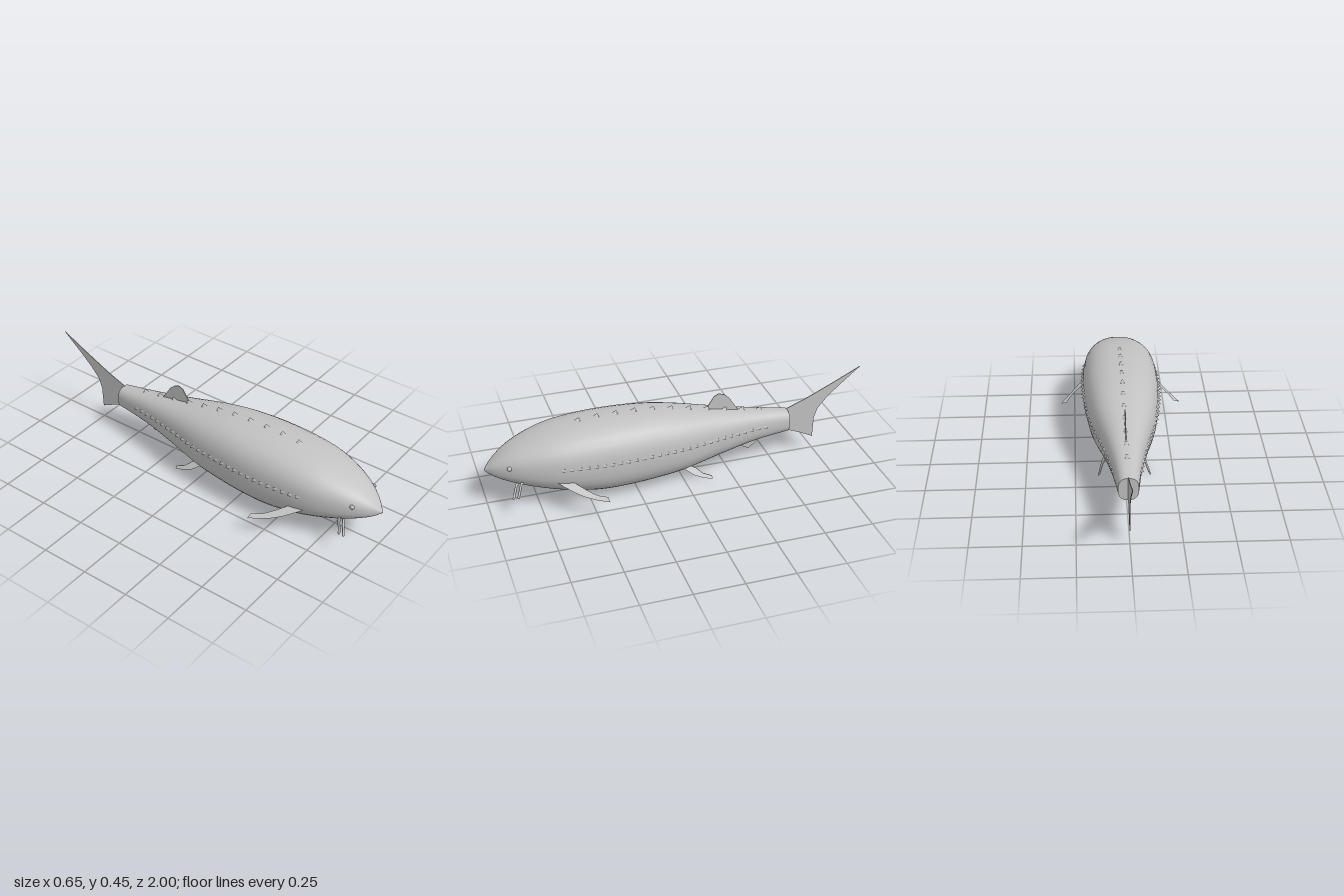
import * as THREE from 'three';
import { mergeVertices } from 'three/addons/utils/BufferGeometryUtils.js';

const grey = new THREE.MeshStandardMaterial({ color: 0xc2c2c2, side: THREE.DoubleSide });
grey.name = 'fish grey';

// Body stations: z, top y, bottom y, half width
const STATIONS = [
  [1, 0.203, 0.197, 0.004], [0.975, 0.232, 0.178, 0.033], [0.94, 0.262, 0.16, 0.066],
  [0.88, 0.301, 0.136, 0.107], [0.8, 0.336, 0.11, 0.146], [0.7, 0.368, 0.082, 0.179],
  [0.6, 0.387, 0.057, 0.195], [0.45, 0.401, 0.031, 0.203], [0.3, 0.403, 0.028, 0.2],
  [0.15, 0.396, 0.035, 0.186], [0, 0.374, 0.05, 0.164], [-0.2, 0.335, 0.089, 0.116],
  [-0.4, 0.298, 0.126, 0.076], [-0.595, 0.266, 0.146, 0.05],
];
const POWER = 2.5;

// Smooth interpolation of the stations at any z
function section(z) {
  let i = 0;
  while (i < STATIONS.length - 2 && z < STATIONS[i + 1][0]) i++;
  const a = STATIONS[i], b = STATIONS[i + 1], span = b[0] - a[0];
  const t = (z - a[0]) / span;
  const slope = (k, c) => {
    const p = STATIONS[Math.max(k - 1, 0)], q = STATIONS[Math.min(k + 1, STATIONS.length - 1)];
    return (q[c] - p[c]) / (q[0] - p[0]);
  };
  const value = (c) => {
    const t2 = t * t, t3 = t2 * t;
    return (2 * t3 - 3 * t2 + 1) * a[c] + (t3 - 2 * t2 + t) * span * slope(i, c)
      + (3 * t2 - 2 * t3) * b[c] + (t3 - t2) * span * slope(i + 1, c);
  };
  return { top: value(1), bottom: value(2), half: value(3) };
}

// Point on the rounded, slightly square skin
function skin(z, angle) {
  const s = section(z);
  const soft = (v) => Math.sign(v) * Math.pow(Math.abs(v), 2 / POWER);
  return new THREE.Vector3(
    s.half * soft(Math.cos(angle)),
    (s.top + s.bottom) / 2 + (s.top - s.bottom) / 2 * soft(Math.sin(angle)),
    z);
}

function add(parent, name, geometry) {
  const mesh = new THREE.Mesh(geometry, grey);
  mesh.name = name;
  parent.add(mesh);
  return mesh;
}

// Grid surface from rows of points
function loft(rows, closed) {
  const n = rows[0].length, index = [];
  for (let i = 0; i < rows.length - 1; i++) {
    for (let j = 0; j < (closed ? n : n - 1); j++) {
      const k = (j + 1) % n, p = i * n, q = p + n;
      index.push(p + j, q + j, p + k, p + k, q + j, q + k);
    }
  }
  const g = new THREE.BufferGeometry().setFromPoints(rows.flat());
  g.setIndex(index);
  g.computeVertexNormals();
  return g;
}

// Thin fin outlined by [z, y] points; xAt gives its sideways lean
function fin(points, xAt = () => 0) {
  const depth = 0.004;
  const shape = new THREE.Shape(points.map(([z, y]) => new THREE.Vector2(z, y)));
  const g = new THREE.ExtrudeGeometry(shape, { depth, bevelEnabled: false });
  const p = g.attributes.position;
  for (let i = 0; i < p.count; i++) {
    const z = p.getX(i), y = p.getY(i);
    p.setXYZ(i, xAt(y) + depth / 2 - p.getZ(i), y, z);
  }
  g.computeVertexNormals();
  return g;
}

// Softly shaded four-sided point, leaning backwards
function scuteGeometry(width, length, height) {
  const cone = new THREE.ConeGeometry(Math.SQRT1_2, 1, 4, 1, true);
  cone.deleteAttribute('uv');
  cone.deleteAttribute('normal');
  cone.rotateY(Math.PI / 4);
  cone.scale(width, height, length);
  const g = mergeVertices(cone);
  const p = g.attributes.position;
  for (let i = 0; i < p.count; i++) {
    if (p.getY(i) > 0) p.setZ(i, -length * 0.25);
  }
  g.computeVertexNormals();
  return g;
}

// Stand a scute on the skin
function placeScute(mesh, z, angle, lift) {
  const along = skin(z + 0.01, angle).sub(skin(z - 0.01, angle)).normalize();
  const around = skin(z, angle + 0.02).sub(skin(z, angle - 0.02)).normalize();
  const out = around.clone().cross(along).normalize();
  const side = out.clone().cross(along);
  mesh.quaternion.setFromRotationMatrix(new THREE.Matrix4().makeBasis(side, out, along));
  mesh.position.copy(skin(z, angle)).addScaledVector(out, lift);
}

export function createModel() {
  const fish = new THREE.Group();
  fish.name = 'fish';

  // Body, with rings closer together at the snout
  const SEGMENTS = 32, RINGS = 48, rows = [];
  for (let i = 0; i <= RINGS; i++) {
    const z = 1 - 1.595 * Math.pow(i / RINGS, 1.4);
    rows.push(Array.from({ length: SEGMENTS }, (_, j) => skin(z, j / SEGMENTS * Math.PI * 2)));
  }
  add(fish, 'body', loft(rows, true));
  const end = rows[RINGS].map((p) => new THREE.Vector2(p.x, p.y));
  const cap = new THREE.ShapeGeometry(new THREE.Shape(end));
  cap.rotateY(Math.PI);
  add(fish, 'tailStump', cap).position.z = -0.595;

  // Fins on the centre line
  add(fish, 'tailFin', fin([[-0.58, 0.265], [-0.7, 0.312], [-0.85, 0.382], [-0.998, 0.455],
    [-0.89, 0.365], [-0.82, 0.302], [-0.77, 0.243], [-0.752, 0.19], [-0.748, 0.075],
    [-0.67, 0.113], [-0.58, 0.15]]));
  add(fish, 'dorsalFin', fin([[-0.13, 0.33], [-0.165, 0.37], [-0.19, 0.41], [-0.215, 0.422],
    [-0.245, 0.412], [-0.275, 0.385], [-0.3, 0.345], [-0.33, 0.3]]));
  add(fish, 'analFin', fin([[-0.28, 0.13], [-0.34, 0.092], [-0.385, 0.067], [-0.42, 0.095],
    [-0.48, 0.15]]));

  // Row of scutes along the back
  const backScute = scuteGeometry(0.024, 0.036, 0.022);
  for (let i = 0; i < 11; i++) {
    placeScute(add(fish, 'backScute', backScute), 0.525 - i * 0.096, Math.PI / 2, 0.006);
  }

  // Paired parts
  const flankScute = scuteGeometry(0.018, 0.028, 0.018);
  for (const s of [1, -1]) {
    const name = s > 0 ? 'left' : 'right';
    const at = (x, y, z) => new THREE.Vector3(s * x, y, z);

    for (let i = 0; i < 28; i++) {
      placeScute(add(fish, name + 'FlankScute', flankScute), 0.645 - i * 0.0405,
        s > 0 ? 0.055 : Math.PI - 0.055, 0.004);
    }

    const front = new THREE.CatmullRomCurve3([at(0.17, 0.172, 0.68), at(0.2, 0.153, 0.645),
      at(0.255, 0.124, 0.575), at(0.292, 0.111, 0.515), at(0.325, 0.105, 0.45)]);
    const rear = new THREE.CatmullRomCurve3([at(0.17, 0.166, 0.605), at(0.2, 0.155, 0.58),
      at(0.248, 0.133, 0.53), at(0.274, 0.121, 0.495), at(0.292, 0.114, 0.45)]);
    const a = front.getPoints(12), b = rear.getPoints(12);
    add(fish, name + 'PectoralFin', loft(a.map((p, i) => [p, b[i]]), false));

    add(fish, name + 'PelvicFin', fin([[0.02, 0.085], [-0.03, 0.078], [-0.065, 0.062],
      [-0.095, 0.036], [-0.142, 0.018], [-0.143, 0.005], [-0.1, 0.014], [-0.05, 0.032],
      [-0.01, 0.06]], (y) => s * (0.108 + (0.04 - y) * 0.71)));

    const eye = add(fish, name + 'Eye', new THREE.SphereGeometry(0.012, 16, 12));
    eye.scale.set(0.75, 1, 1);
    eye.position.copy(at(0.1, 0.243, 0.89));

    // Two whiskers on each side of the mouth
    for (const z of [0.842, 0.866]) {
      const path = new THREE.CatmullRomCurve3([at(0.112, 0.158, z - 0.01), at(0.128, 0.165, z),
        at(0.14, 0.148, z + 0.008), at(0.148, 0.126, z + 0.016), at(0.161, 0.112, z + 0.024)]);
      add(fish, name + 'Whisker', new THREE.TubeGeometry(path, 16, 0.006, 8));
      const tip = add(fish, name + 'WhiskerTip', new THREE.SphereGeometry(0.006, 8, 6));
      tip.position.copy(at(0.161, 0.112, z + 0.024));
    }
  }
  return fish;
}
